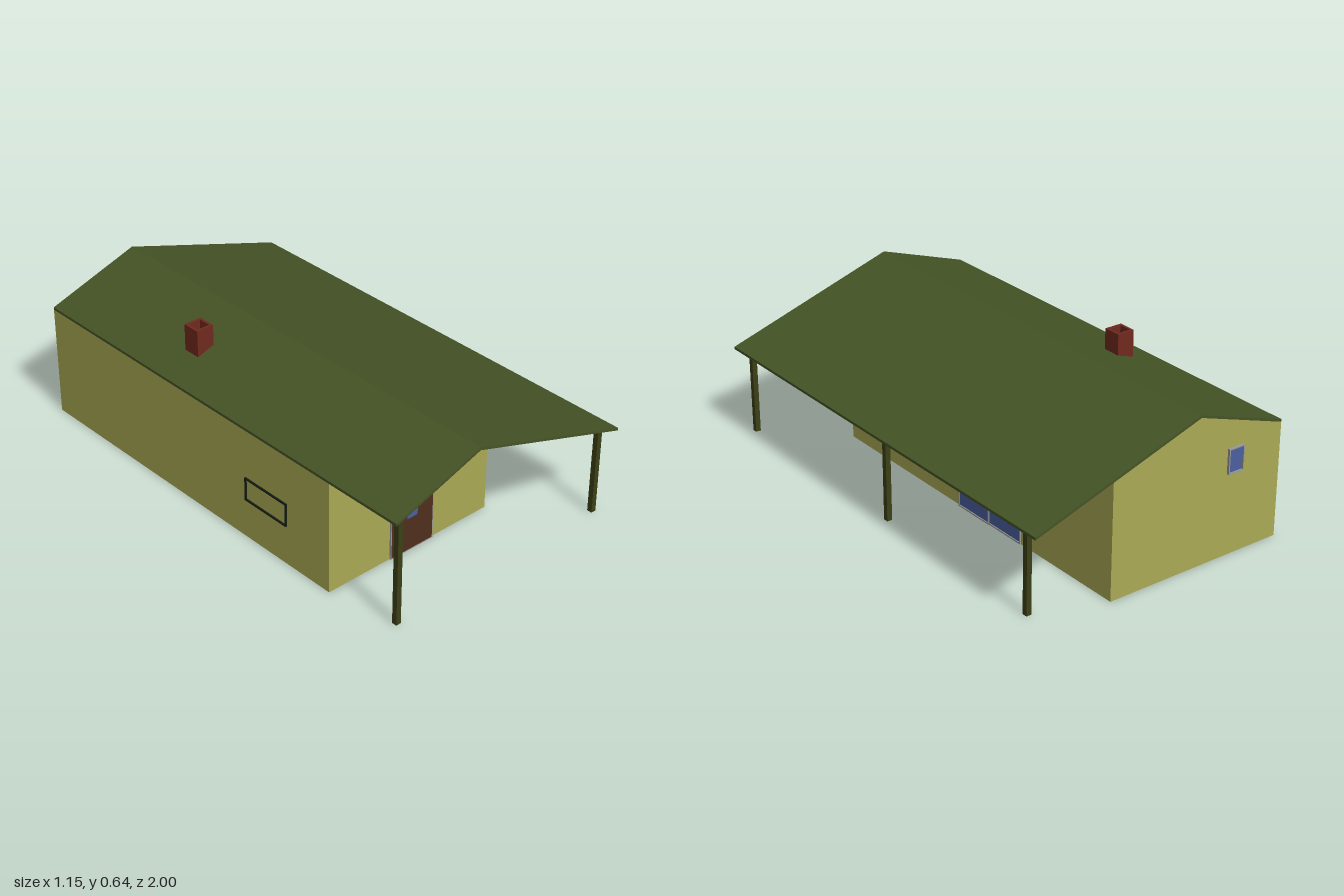
import * as THREE from 'three';

const mat = (color, side = THREE.FrontSide) => new THREE.MeshStandardMaterial({ color, side, flatShading: true });
const M = {
  wall: mat(0xaaaa55, THREE.DoubleSide), roof: mat(0x455426), post: mat(0x3c4016),
  brick: mat(0x702a1e), door: mat(0x50301e), glass: mat(0x4a60a0), frame: mat(0x999999),
  metal: mat(0xcccccc), brass: mat(0xb09a50), black: mat(0x151a14), darkGlass: mat(0x263c3a),
};

const LEFT = -0.57, RIGHT = 0.232, FRONT = 0.66, BACK = -0.99, RIDGE = -0.17, EAVE = 0.575;

// Height of the roof's underside at x
const under = x => x < RIDGE
  ? THREE.MathUtils.mapLinear(x, LEFT, RIDGE, 0.475, 0.608)
  : THREE.MathUtils.mapLinear(x, RIDGE, EAVE, 0.608, 0.366);

const shapeOf = pts => new THREE.Shape(pts.map(p => new THREE.Vector2(...p)));

function rect(w, h) {
  return [[-w / 2, -h / 2], [w / 2, -h / 2], [w / 2, h / 2], [-w / 2, h / 2]];
}

// Box given by its two extreme corners
function box(name, material, [x0, y0, z0], [x1, y1, z1]) {
  const mesh = new THREE.Mesh(new THREE.BoxGeometry(x1 - x0, y1 - y0, z1 - z0), material);
  mesh.position.set((x0 + x1) / 2, (y0 + y1) / 2, (z0 + z1) / 2);
  mesh.name = name;
  return mesh;
}

// Rectangular ring of bar width t, centred in xy, running from z = 0 to depth
function ring(name, material, w, h, t, depth) {
  const shape = shapeOf(rect(w, h));
  shape.holes.push(new THREE.Path(rect(w - 2 * t, h - 2 * t).map(p => new THREE.Vector2(...p))));
  const mesh = new THREE.Mesh(new THREE.ExtrudeGeometry(shape, { depth, bevelEnabled: false }), material);
  mesh.name = name;
  return mesh;
}

function group(name, ...parts) {
  const g = new THREE.Group();
  g.name = name;
  if (parts.length) g.add(...parts);
  return g;
}

// Open-bottomed shell: two gable sheets and two side sheets
function walls() {
  const g = group('walls');
  const gable = new THREE.ShapeGeometry(shapeOf([
    [LEFT, 0], [RIGHT, 0], [RIGHT, under(RIGHT)], [RIDGE, under(RIDGE)], [LEFT, under(LEFT)]]));
  for (const [name, z, flip] of [['frontWall', FRONT, false], ['backWall', BACK, true]]) {
    const geo = gable.clone();
    if (flip) geo.scale(-1, 1, 1).rotateY(Math.PI);
    const m = new THREE.Mesh(geo, M.wall);
    m.name = name;
    m.position.z = z;
    g.add(m);
  }
  for (const [name, x, turn] of [['leftWall', RIGHT, 1], ['rightWall', LEFT, -1]]) {
    const h = under(x);
    const m = new THREE.Mesh(new THREE.PlaneGeometry(FRONT - BACK, h), M.wall);
    m.name = name;
    m.rotation.y = turn * Math.PI / 2;
    m.position.set(x, h / 2, (FRONT + BACK) / 2);
    g.add(m);
  }
  return g;
}

function roof() {
  const line = [LEFT, RIDGE, EAVE].map(x => [x, under(x)]);
  const top = line.map(([x, y]) => [x, y + 0.011]).reverse();
  const m = new THREE.Mesh(
    new THREE.ExtrudeGeometry(shapeOf([...line, ...top]), { depth: 1 - BACK, bevelEnabled: false }), M.roof);
  m.name = 'roof';
  m.position.z = BACK;
  return m;
}

function chimney() {
  const flue = ring('flue', M.brick, 0.077, 0.077, 0.011, 0.135);
  flue.rotation.x = -Math.PI / 2;
  flue.position.set(-0.392, 0.51, -0.278);
  const plug = box('flueFloor', M.brick, [-0.424, 0.512, -0.31], [-0.36, 0.59, -0.246]);
  return group('chimney', flue, plug);
}

function frontDoor() {
  const frame = ring('doorFrame', M.frame, 0.216, 0.39, 0.004, 0.011);
  frame.position.set(-0.162, 0.195, FRONT - 0.004);
  const z = FRONT + 0.001;
  const lever = box('handleLever', M.metal, [-0.262, 0.188, z + 0.012], [-0.236, 0.194, z + 0.016]);
  const stem = box('handleStem', M.metal, [-0.262, 0.188, z], [-0.256, 0.194, z + 0.014]);
  const peephole = new THREE.Mesh(new THREE.CylinderGeometry(0.004, 0.004, 0.004, 12), M.brass);
  peephole.name = 'peephole';
  peephole.rotation.x = Math.PI / 2;
  peephole.position.set(-0.163, 0.322, z + 0.007);
  return group('frontDoor', frame,
    box('doorLeaf', M.door, [-0.266, 0.004, z], [-0.058, 0.386, z + 0.006]),
    box('doorGlass', M.glass, [-0.189, 0.146, z], [-0.137, 0.302, z + 0.007]),
    lever, stem, peephole);
}

// Two glazed panels, one set slightly in front of the other
function slidingDoor() {
  const g = group('slidingDoor');
  [0.095, -0.095].forEach((x, i) => {
    const panel = group('slidingPanel');
    const glass = box('panelGlass', M.glass, [-0.09, -0.172, 0.001], [0.09, 0.172, 0.003]);
    panel.add(ring('panelFrame', M.frame, 0.192, 0.36, 0.006, 0.005), glass);
    panel.position.set(x, 0.18, i * 0.003);
    g.add(panel);
  });
  g.rotation.y = Math.PI / 2;
  g.position.set(RIGHT, 0, -0.28);
  return g;
}

function backWindow() {
  const g = group('backWindow',
    ring('windowFrame', M.frame, 0.075, 0.104, 0.005, 0.01),
    box('windowGlass', M.glass, [-0.033, -0.047, 0.001], [0.033, 0.047, 0.004]));
  g.rotation.y = Math.PI;
  g.position.set(-0.345, 0.392, BACK);
  return g;
}

// Outer frame on the wall, with the pane on the inner face
function sideWindow() {
  const g = group('sideWindow',
    ring('windowFrame', M.black, 0.232, 0.1, 0.006, 0.008),
    box('windowPane', M.darkGlass, [-0.114, -0.048, -0.004], [0.114, 0.048, -0.001]));
  g.rotation.y = -Math.PI / 2;
  g.position.set(LEFT + 0.001, 0.22, 0.315);
  return g;
}

function posts() {
  const g = group('posts');
  const r = 0.011;
  for (const [x, z] of [[-0.51, 0.95], [0.52, 0.95], [0.52, -0.015], [0.52, -0.878]]) {
    g.add(box('post', M.post, [x - r, 0, z - r], [x + r, under(x) + 0.004, z + r]));
  }
  return g;
}

export function createModel() {
  return group('house', walls(), roof(), chimney(), frontDoor(), slidingDoor(),
    backWindow(), sideWindow(), posts());
}
